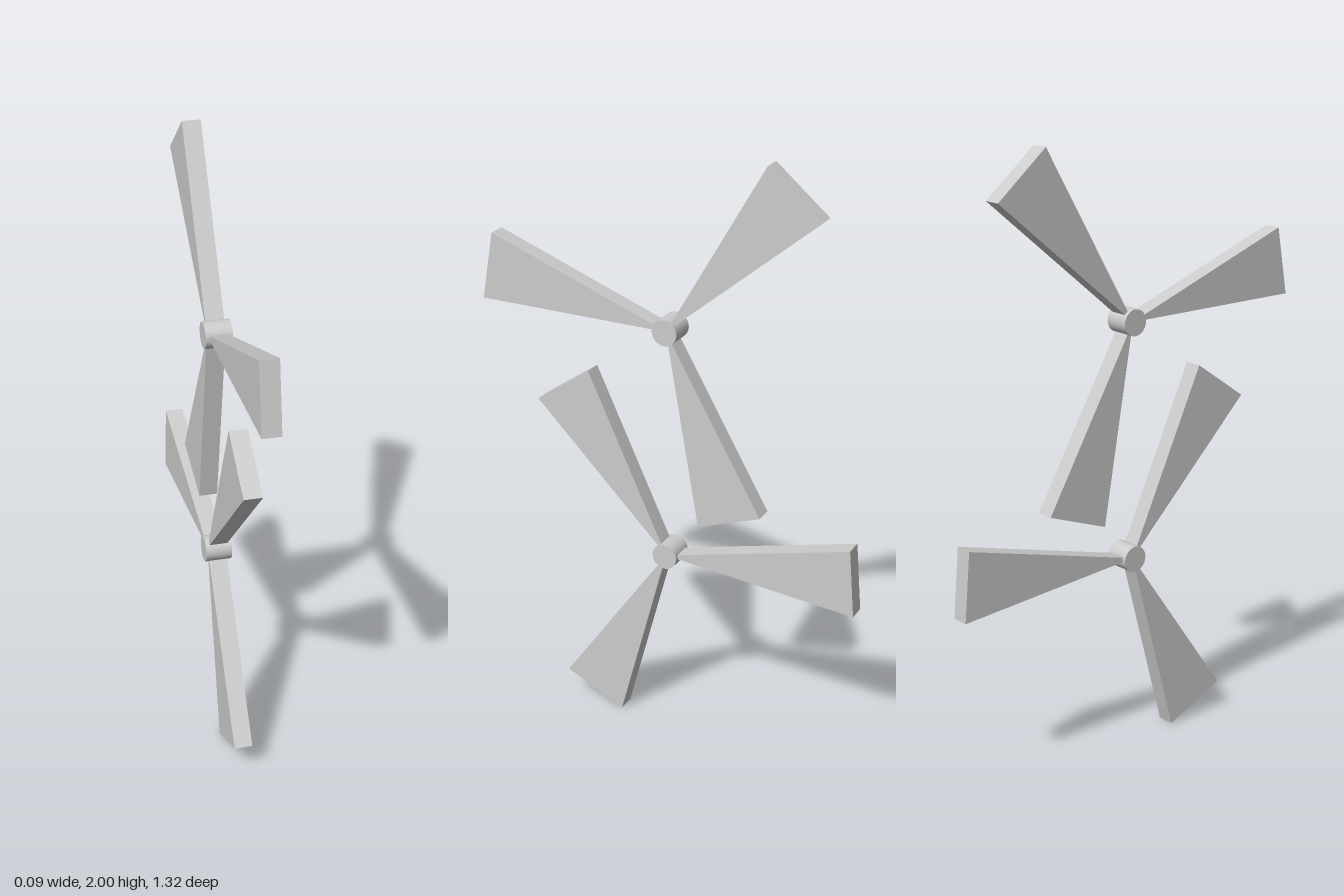
import * as THREE from 'three';

const RADIUS = 0.662, THICKNESS = 0.06, HUB_RADIUS = 0.043, HUB_LENGTH = 0.086;
const rad = THREE.MathUtils.degToRad;

export function createModel() {
  const material = new THREE.MeshStandardMaterial({ color: 0xcccccc });

  // Blade: 20 degree wedge with its point on the axle, from +z towards +y
  const wedge = new THREE.Shape([
    new THREE.Vector2(0, 0),
    new THREE.Vector2(RADIUS, 0),
    new THREE.Vector2(RADIUS * Math.cos(rad(20)), RADIUS * Math.sin(rad(20))),
  ]);
  const bladeGeometry = new THREE.ExtrudeGeometry(wedge, { depth: THICKNESS, bevelEnabled: false });
  bladeGeometry.translate(0, 0, -THICKNESS / 2).rotateY(-Math.PI / 2);

  // Hub: short axle along x
  const hubGeometry = new THREE.CylinderGeometry(HUB_RADIUS, HUB_RADIUS, HUB_LENGTH, 24);
  hubGeometry.rotateZ(Math.PI / 2);

  // Rotor: hub with three evenly spaced blades
  function makeRotor(name, y, startAngle) {
    const rotor = new THREE.Group();
    rotor.name = name;
    rotor.position.y = y;
    rotor.rotation.x = -rad(startAngle);
    const hub = new THREE.Mesh(hubGeometry, material);
    hub.name = 'hub';
    rotor.add(hub);
    for (let i = 0; i < 3; i++) {
      const blade = new THREE.Mesh(bladeGeometry, material);
      blade.name = `blade${i + 1}`;
      blade.rotation.x = -rad(120 * i);
      rotor.add(blade);
    }
    return rotor;
  }

  const model = new THREE.Group();
  model.name = 'twinRotors';
  model.add(makeRotor('upperRotor', 1.427, 0), makeRotor('lowerRotor', 0.642, 45));
  return model;
}
